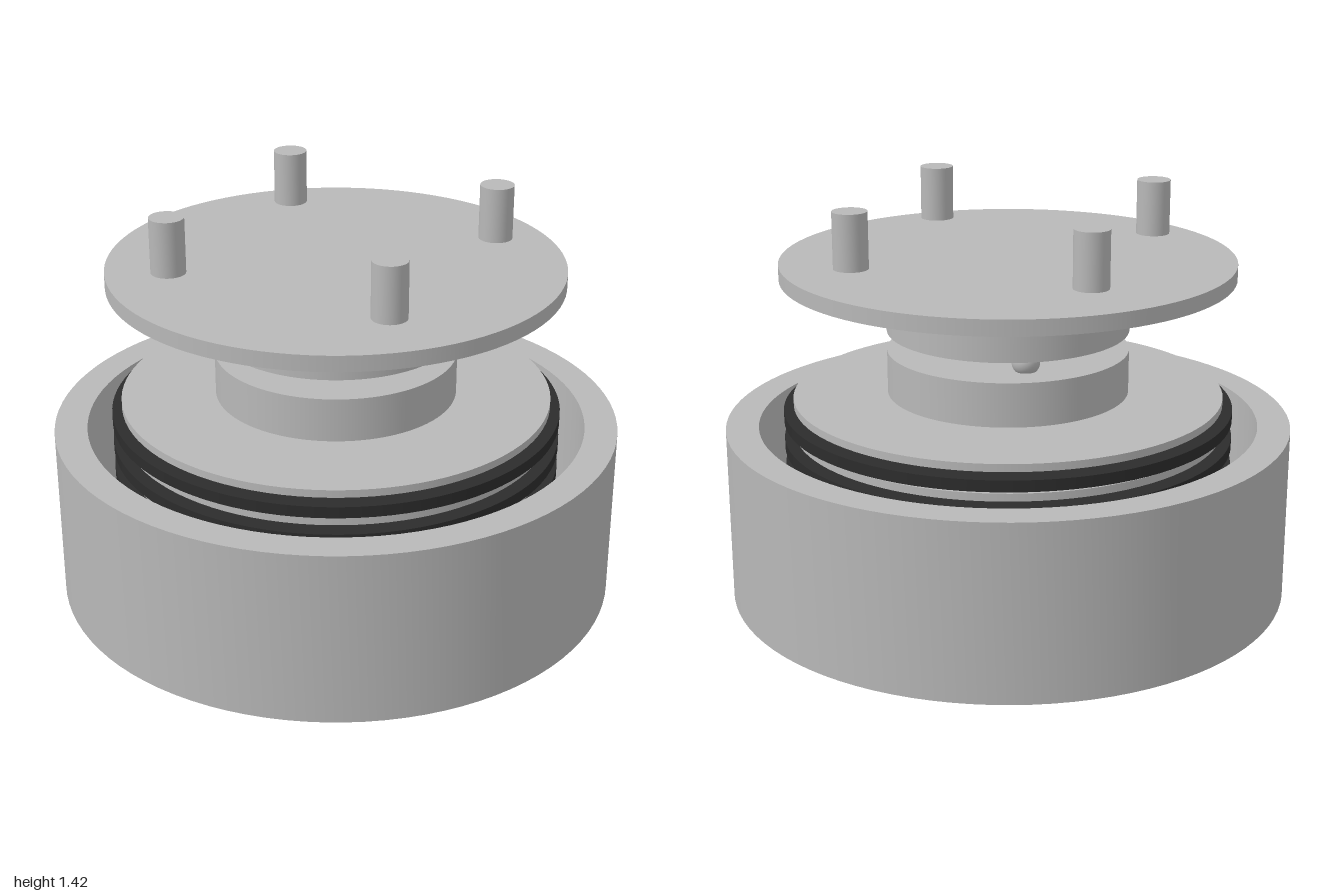
import * as THREE from 'three';
import { toCreasedNormals } from 'three/addons/utils/BufferGeometryUtils.js';

export function createModel() {
  const model = new THREE.Group();
  const steel = new THREE.MeshStandardMaterial({ color: 0xb8b8b8 });
  steel.name = 'steel grey';
  const friction = new THREE.MeshStandardMaterial({ color: 0x2c2c2c });
  friction.name = 'friction black';

  const add = (name, geometry, material, x = 0, y = 0, z = 0) => {
    const mesh = new THREE.Mesh(geometry, material);
    mesh.name = name;
    mesh.position.set(x, y, z);
    model.add(mesh);
  };
  // Upright cylinder given by its bottom and top heights
  const disc = (name, radius, bottom, top, material = steel, x = 0, z = 0, sides = 96) =>
    add(name, new THREE.CylinderGeometry(radius, radius, top - bottom, sides), material, x, (bottom + top) / 2, z);

  // Open cup housing with a closed floor
  const profile = [[0, 0], [1, 0], [1, 0.62], [0.885, 0.62], [0.885, 0.1], [0, 0.1]]
    .map(([r, y]) => new THREE.Vector2(r, y));
  add('housing', toCreasedNormals(new THREE.LatheGeometry(profile, 96), 0.6), steel);

  // Clutch pack: alternating friction discs and steel plates
  for (let i = 0; i < 6; i++) {
    const top = 0.72 - i * 0.1;
    disc('steelPlate', 0.76, top - 0.027, top);
    disc('frictionDisc', 0.795, top - 0.082, top - 0.042, friction);
  }

  // Thrust bearing: two races with three balls between
  disc('lowerRace', 0.427, 0.725, 0.88);
  disc('upperRace', 0.427, 0.95, 1.1);
  for (let i = 0; i < 3; i++) {
    const a = (i * Math.PI * 2) / 3;
    add('bearingBall', new THREE.SphereGeometry(0.049, 32, 20), steel, 0.29 * Math.cos(a), 0.912, 0.29 * Math.sin(a));
  }

  // Cover plate and its four bolts
  disc('coverPlate', 0.795, 1.148, 1.203);
  for (const x of [-0.415, 0.415]) {
    for (const z of [-0.415, 0.415]) disc('bolt', 0.06, 1.23, 1.425, steel, x, z, 40);
  }
  return model;
}
